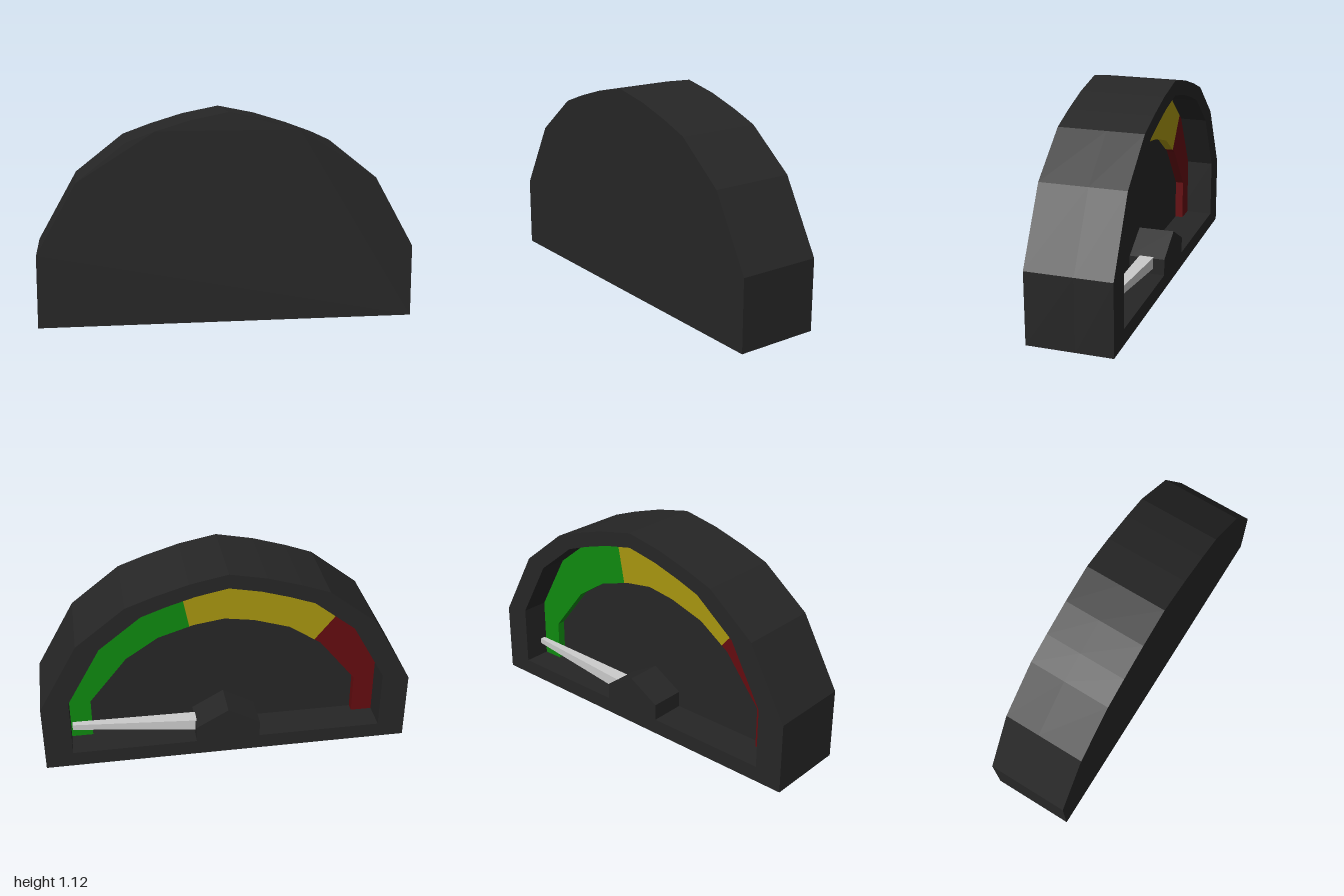
import * as THREE from 'three';

const BACK = -0.225, FLOOR = -0.03, FRONT = 0.225;

// Right half of the dome outline, from the base up to the apex
const DOME = [[1, 0], [1, 0.385], [0.79, 0.76], [0.53, 0.965], [0.38, 1.02], [0.2, 1.075], [0, 1.115]];
const OPENING = DOME.map(([x, y]) => [x * 0.851, 0.085 + y * 0.853]);

const mat = (color) => new THREE.MeshStandardMaterial({ color, flatShading: true });
const toShape = (pts) => new THREE.Shape(pts.map(([x, y]) => new THREE.Vector2(x, y)));
const flip = (pts) => pts.map(([x, y]) => [-x, y]);
const mirrored = (half) => [...half, ...flip(half.slice(0, -1)).reverse()];

// Prism of an outline between two z planes
function prism(name, shape, z0, z1, material) {
  const geo = new THREE.ExtrudeGeometry(shape, { depth: z1 - z0, bevelEnabled: false });
  geo.translate(0, 0, z0);
  const mesh = new THREE.Mesh(geo, material);
  mesh.name = name;
  return mesh;
}

export function createModel() {
  const group = new THREE.Group();
  group.name = 'gauge';
  const dark = mat(0x262626);

  // Housing: solid plate plus a rim around the dial recess
  group.add(prism('housingPlate', toShape(mirrored(DOME)), FLOOR, FRONT, dark));
  const rim = toShape(mirrored(DOME));
  rim.holes.push(toShape(mirrored(OPENING)));
  group.add(prism('housingRim', rim, BACK, FLOOR, dark));

  // Coloured dial bands, each an outer edge followed by its inner edge
  const inner = [[0.735, 0.085], [0.735, 0.31], [0.531, 0.565], [0.356, 0.682], [0.16, 0.744], [0, 0.768]];
  const cutA = { out: [0.234, 0.978], in: [0.187, 0.736] };
  const cutB = { out: [-0.636, 0.762], in: [-0.496, 0.588] };
  const left = flip(OPENING), leftIn = flip(inner);
  const bands = {
    greenBand: [0x0f8a10, [...OPENING.slice(0, 5), cutA.out], [...inner.slice(0, 4), cutA.in]],
    yellowBand: [0xa89610,
      [cutA.out, OPENING[5], OPENING[6], left[5], left[4], left[3], cutB.out],
      [cutA.in, inner[4], inner[5], leftIn[4], leftIn[3], cutB.in]],
    redBand: [0x640c10, [cutB.out, left[2], left[1], left[0]], [cutB.in, leftIn[2], leftIn[1], leftIn[0]]],
  };
  for (const [name, [color, outer, inside]] of Object.entries(bands)) {
    group.add(prism(name, toShape([...outer, ...inside.reverse()]), -0.075, FLOOR, mat(color)));
  }

  // Peaked hub cover, flush with the rim
  const hub = mirrored([[0.175, 0.08], [0.175, 0.175], [0, 0.275]]);
  group.add(prism('hubCover', toShape(hub), BACK, FLOOR, dark));

  // Needle: a box tapered toward its tip
  const x0 = 0.1, x1 = 0.843;
  const geo = new THREE.BoxGeometry(1, 1, 1);
  const p = geo.attributes.position;
  for (let i = 0; i < p.count; i++) {
    const tip = p.getX(i) > 0;
    p.setXYZ(i, tip ? x1 : x0,
      (tip ? 0.18 : 0.145) + p.getY(i) * (tip ? 0.03 : 0.067),
      (tip ? -0.108 : -0.125) + p.getZ(i) * (tip ? 0.03 : 0.085));
  }
  geo.computeVertexNormals();
  const needle = new THREE.Mesh(geo, mat(0xcccccc));
  needle.name = 'needle';
  group.add(needle);

  return group;
}
